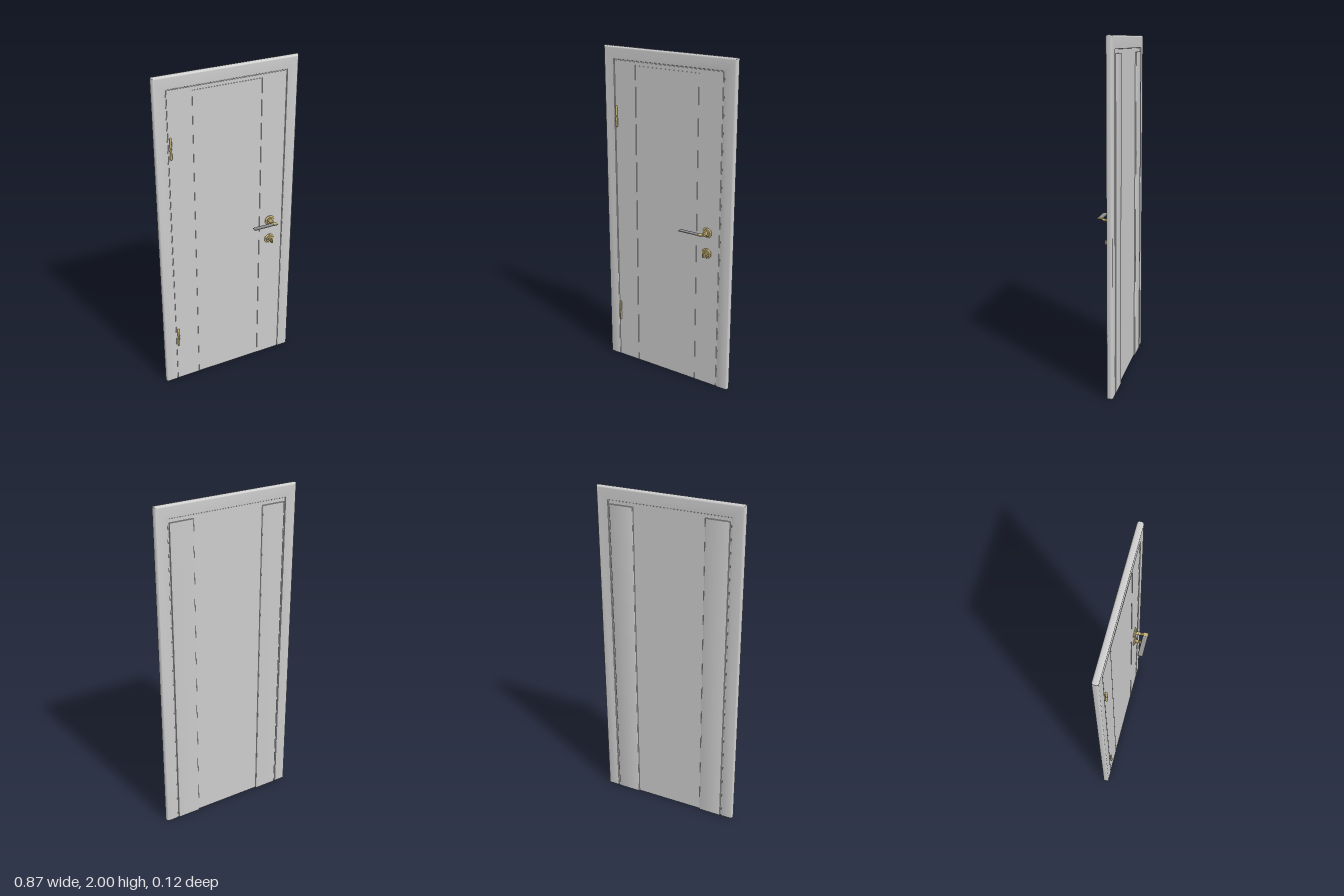
import * as THREE from 'three';
import { toCreasedNormals } from 'three/addons/utils/BufferGeometryUtils.js';
import { RoundedBoxGeometry } from 'three/addons/geometries/RoundedBoxGeometry.js';

const HALF = 0.437, HEIGHT = 2, CASING = 0.073;
const BACK = -0.061, FRONT = -0.025;

const grey = new THREE.MeshStandardMaterial({ color: 0xcccccc });
const brass = new THREE.MeshStandardMaterial({ color: 0xc8b47a });
const steel = new THREE.MeshStandardMaterial({ color: 0x8c8c8c });

function add(parent, name, geometry, material, x = 0, y = 0, z = 0) {
  const mesh = new THREE.Mesh(geometry, material);
  mesh.name = name;
  mesh.position.set(x, y, z);
  parent.add(mesh);
  return mesh;
}

// Box given by its limits
function slab(parent, name, x0, x1, y0, y1, z0, z1, material = grey) {
  return add(parent, name, new THREE.BoxGeometry(x1 - x0, y1 - y0, z1 - z0), material,
    (x0 + x1) / 2, (y0 + y1) / 2, (z0 + z1) / 2);
}

// Rectangle with rounded corners; radii start at the lower left, anticlockwise
function roundedOutline(x0, x1, y0, y1, radii) {
  const corners = [[x0, y0, 1, 1], [x1, y0, -1, 1], [x1, y1, -1, -1], [x0, y1, 1, -1]];
  const points = [];
  corners.forEach(([x, y, sx, sy], i) => {
    const r = radii[i];
    for (let k = 0; k <= 5; k++) {
      const a = Math.PI + (i + k / 5) * Math.PI / 2;
      points.push(new THREE.Vector2(x + sx * r + r * Math.cos(a), y + sy * r + r * Math.sin(a)));
    }
  });
  return points;
}

// Rounded section swept up, across and down, with mitred top corners
function casingGeometry() {
  const ring = roundedOutline(0, CASING, BACK, FRONT, [0.012, 0.004, 0.004, 0.012]);
  const n = ring.length, positions = [], index = [];
  for (const [side, top] of [[-1, false], [-1, true], [1, true], [1, false]]) {
    for (const p of ring) positions.push(side * (HALF - p.x), top ? HEIGHT - p.x : 0, p.y);
  }
  for (let s = 0; s < 3; s++) {
    for (let p = 0; p < n; p++) {
      const q = (p + 1) % n, a = s * n, b = a + n;
      index.push(a + p, b + q, a + q, a + p, b + p, b + q);
    }
  }
  // Flat feet
  for (let p = 1; p < n - 1; p++) {
    index.push(0, p, p + 1, 3 * n, 3 * n + p + 1, 3 * n + p);
  }
  const geometry = new THREE.BufferGeometry();
  geometry.setAttribute('position', new THREE.Float32BufferAttribute(positions, 3));
  geometry.setIndex(index);
  return toCreasedNormals(geometry, 0.6);
}

// Upright board with a softened inner edge on its rear face
function stileGeometry(x0, x1, height, innerIsRight) {
  const radii = innerIsRight ? [0.003, 0.008, 0, 0] : [0.008, 0.003, 0, 0];
  const shape = new THREE.Shape(roundedOutline(x0, x1, BACK - 0.002, -0.045, radii)
    .map((p) => new THREE.Vector2(p.x, -p.y)).reverse());
  const geometry = new THREE.ExtrudeGeometry(shape, { depth: height, bevelEnabled: false });
  geometry.rotateX(-Math.PI / 2);
  return toCreasedNormals(geometry, 0.6);
}

// Profile of radius and distance from the door, turned to face the front
function turned(profile) {
  const geometry = new THREE.LatheGeometry(profile.map(([r, d]) => new THREE.Vector2(r, d)), 32);
  geometry.rotateX(Math.PI / 2);
  return toCreasedNormals(geometry, 0.5);
}

export function createModel() {
  const door = new THREE.Group();
  door.name = 'door';
  add(door, 'casing', casingGeometry(), grey);

  // Leaf: core, front skin around a slightly sunk panel, rear stiles
  const leaf = new THREE.Group();
  leaf.name = 'leaf';
  door.add(leaf);
  slab(leaf, 'leafCore', -0.366, 0.366, 0, 1.929, -0.055, -0.031);
  slab(leaf, 'leftFrontStile', 0.209, 0.357, 0, 1.923, -0.032, -0.027);
  slab(leaf, 'rightFrontStile', -0.36, -0.216, 0, 1.923, -0.032, -0.027);
  slab(leaf, 'frontTopRail', -0.216, 0.209, 1.905, 1.923, -0.032, -0.027);
  slab(leaf, 'frontPanel', -0.212, 0.205, 0, 1.901, -0.032, -0.028);
  add(leaf, 'leftRearStile', stileGeometry(0.212, 0.356, 1.905, false), grey);
  add(leaf, 'rightRearStile', stileGeometry(-0.356, -0.215, 1.905, true), grey);

  // Hinges with a knuckle joint
  for (const y of [1.595, 0.325]) {
    const hinge = new THREE.Group();
    hinge.name = 'hinge';
    hinge.position.set(-0.349, y, -0.02);
    door.add(hinge);
    for (const side of [-1, 1]) {
      add(hinge, 'hingeBarrel', new THREE.CapsuleGeometry(0.0065, 0.05, 4, 16), brass, 0, side * 0.0335, 0);
    }
    add(hinge, 'hingePin', new THREE.CylinderGeometry(0.005, 0.005, 0.1, 16), brass);
  }

  // Roses shared by the lever and the thumb turn
  const rose = [[0.0, 0], [0.03, 0], [0.031, 0.003], [0.029, 0.006], [0.022, 0.009],
    [0.02, 0.013], [0.012, 0.014], [0.012, 0.017], [0, 0.017]];

  const lever = new THREE.Group();
  lever.name = 'leverHandle';
  lever.position.set(0.277, 0.994, 0);
  door.add(lever);
  add(lever, 'leverRose', turned(rose), brass, 0, 0, -0.028);
  add(lever, 'leverNeck', turned([[0, 0], [0.011, 0], [0.011, 0.024], [0.008, 0.029], [0, 0.029]]),
    brass, 0, 0, -0.015);
  const stem = new THREE.CatmullRomCurve3([
    new THREE.Vector3(0, 0, 0.01), new THREE.Vector3(0, 0.002, 0.025), new THREE.Vector3(0, 0.008, 0.036),
  ]);
  add(lever, 'leverStem', new THREE.TubeGeometry(stem, 10, 0.007, 16), brass);
  add(lever, 'leverElbow', new RoundedBoxGeometry(0.025, 0.007, 0.032, 3, 0.003), brass, -0.001, 0.009, 0.044);
  add(lever, 'leverGrip', new RoundedBoxGeometry(0.134, 0.005, 0.031, 3, 0.0024), steel, -0.078, 0.009, 0.044);

  const lock = new THREE.Group();
  lock.name = 'thumbTurn';
  lock.position.set(0.277, 0.866, 0);
  door.add(lock);
  add(lock, 'lockRose', turned(rose), brass, 0, 0, -0.028);
  add(lock, 'turnSpindle', turned([[0, 0], [0.01, 0], [0.01, 0.014], [0, 0.014]]), brass, 0, 0, -0.013);
  add(lock, 'turnGrip', new RoundedBoxGeometry(0.009, 0.027, 0.019, 3, 0.003), brass, 0, 0, 0.009);

  return door;
}
